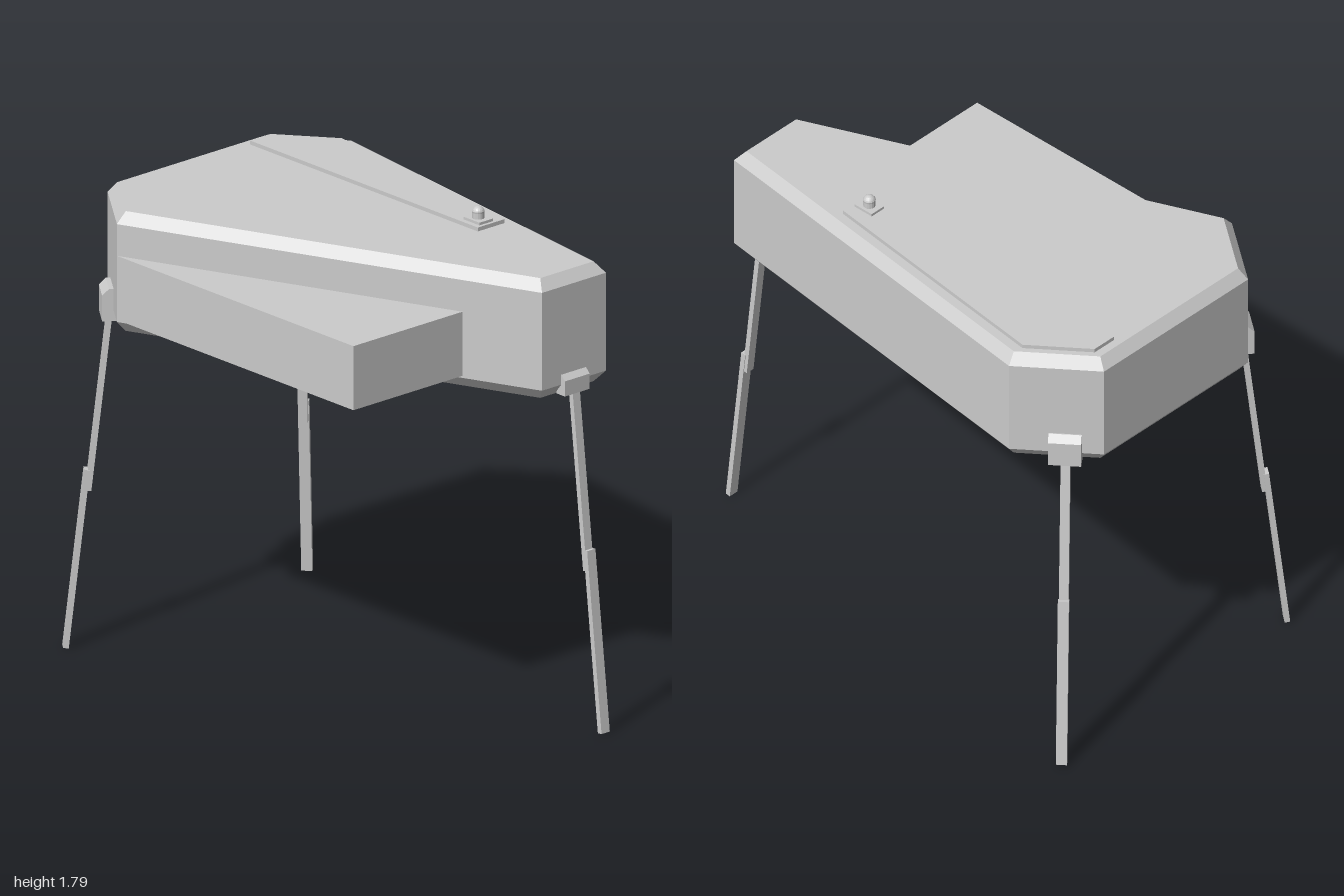
import * as THREE from 'three';

const material = new THREE.MeshStandardMaterial({ color: 0xcccccc, flatShading: true, side: THREE.DoubleSide });

function add(parent, name, geometry, x = 0, y = 0, z = 0) {
  const mesh = new THREE.Mesh(geometry, material);
  mesh.name = name;
  mesh.position.set(x, y, z);
  parent.add(mesh);
  return mesh;
}

// Extrude a plan outline of [x, z] points upward from y0 to y1, with an optional inward chamfer
function prism(points, y0, y1, chamfer = 0) {
  const shape = new THREE.Shape(points.map(([x, z]) => new THREE.Vector2(x, -z)));
  const geometry = new THREE.ExtrudeGeometry(shape, {
    depth: y1 - y0 - 2 * chamfer,
    bevelEnabled: chamfer > 0,
    bevelThickness: chamfer,
    bevelSize: chamfer * 0.8,
    bevelOffset: -chamfer * 0.8,
    bevelSegments: 1,
  });
  return geometry.rotateX(-Math.PI / 2).translate(0, y0 + chamfer, 0);
}

// Jointed leg: local +x points outward, local z runs along the body wall
function makeLeg(name, x, z, dx, dz, out, top) {
  const leg = new THREE.Group();
  leg.name = name;
  leg.position.set(x, 0, z);
  leg.rotation.y = Math.atan2(-dz, dx);

  // Clamp with sloped top edge
  const clamp = new THREE.Shape([
    [-0.03, 1.262], [out, 1.262], [out, top - 0.025], [out - 0.025, top], [-0.03, top],
  ].map(([a, b]) => new THREE.Vector2(a, b)));
  const clampGeometry = new THREE.ExtrudeGeometry(clamp, { depth: 0.12, bevelEnabled: false });
  add(leg, 'legClamp', clampGeometry.translate(0, 0, -0.06));

  // Two overlapping sloping bars, the lower one set outside the upper
  const tilt = Math.atan(0.113);
  const bar = (part, y0, y1, offset, width) => {
    const mid = (y0 + y1) / 2;
    const mesh = add(leg, part, new THREE.BoxGeometry(0.02, (y1 - y0) / Math.cos(tilt), width),
      (1.26 - mid) * 0.113 + offset, mid, 0);
    mesh.rotation.z = tilt;
  };
  bar('upperLeg', 0.6, 1.3, 0, 0.035);
  bar('lowerLeg', 0.002, 0.68, 0.014, 0.04);
  return leg;
}

export function createModel() {
  const model = new THREE.Group();
  model.name = 'steppedCaseOnLegs';

  // Chamfered tapering case
  const outline = [[-0.99, 0.36], [-0.72, 0.56], [0.83, -0.09], [0.83, -0.4], [-0.72, -0.6], [-0.99, -0.39]];
  add(model, 'caseBody', prism(outline, 1.26, 1.718, 0.042));

  // Wedge-shaped side box, tucked slightly into the slanted wall
  add(model, 'sideWedge', prism([[-0.72, 0.56], [0.54, 0.56], [0.54, 0.02]], 1.31, 1.555));

  // Thin plate along the back of the lid
  const plate = [[-0.925, -0.27], [0.29, -0.27], [0.29, -0.4], [-0.72, -0.53], [-0.925, -0.37]];
  add(model, 'lidPlate', prism(plate, 1.716, 1.733));

  // Knob on a small square base
  add(model, 'knobBase', new THREE.BoxGeometry(0.085, 0.012, 0.065), 0.235, 1.737, -0.322);
  const profile = [[0, 0], [0.022, 0], [0.022, 0.022]];
  for (let i = 1; i <= 6; i++) {
    const a = (i / 6) * Math.PI / 2;
    profile.push([0.024 * Math.cos(a), 0.022 + 0.024 * Math.sin(a)]);
  }
  add(model, 'knob', new THREE.LatheGeometry(profile.map(([r, y]) => new THREE.Vector2(r, y)), 16), 0.235, 1.742, -0.322);

  // Three splayed legs
  model.add(makeLeg('leftLeg', 0.835, -0.243, 1, 0, 0.015, 1.345));
  model.add(makeLeg('frontRightLeg', -0.87, 0.463, -0.6, 0.8, 0.03, 1.385));
  model.add(makeLeg('backRightLeg', -0.87, -0.463, -0.62, -0.79, 0.045, 1.385));
  return model;
}
